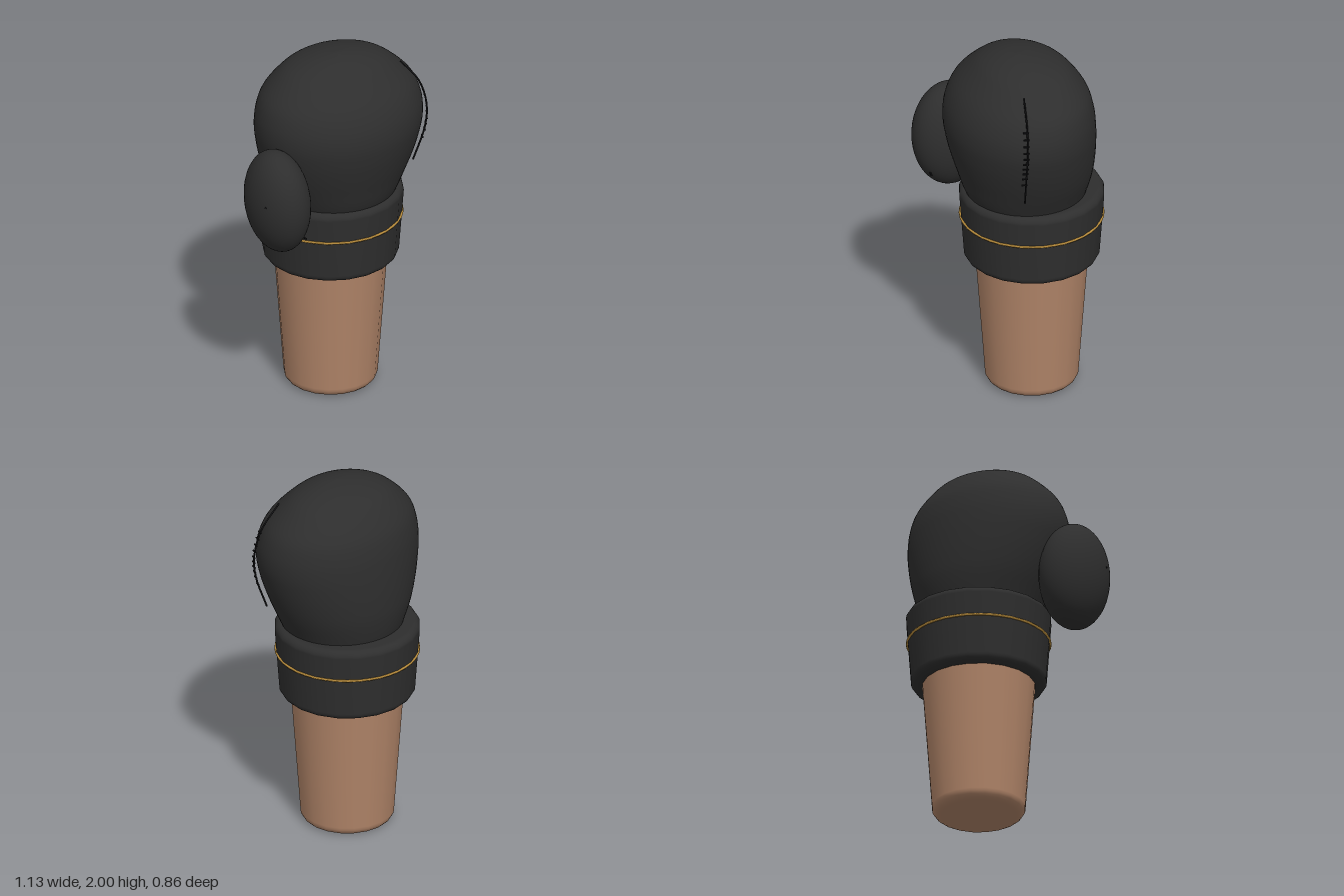
import * as THREE from 'three';
import { mergeVertices } from 'three/addons/utils/BufferGeometryUtils.js';

const CX = 0.085, CZ = -0.037; // axis of the forearm and cuff

function material(name, color) {
  const m = new THREE.MeshStandardMaterial({ color });
  m.name = name;
  return m;
}

// Tapered cylinder with rounded rims, as a lathe profile
function taperedDrum(r0, r1, y0, y1, round) {
  const pts = [new THREE.Vector2(0, y0)];
  const steps = 5;
  for (let i = 0; i <= steps; i++) {
    const a = (i / steps) * Math.PI / 2;
    pts.push(new THREE.Vector2(r0 - round + round * Math.sin(a), y0 + round - round * Math.cos(a)));
  }
  for (let i = 0; i <= steps; i++) {
    const a = (i / steps) * Math.PI / 2;
    pts.push(new THREE.Vector2(r1 - round + round * Math.cos(a), y1 - round + round * Math.sin(a)));
  }
  pts.push(new THREE.Vector2(0, y1));
  return new THREE.LatheGeometry(pts, 20);
}

// Padded mitt: oval cross-sections [y, half width, front z, back z]
function mittGeometry() {
  const sections = [
    [1.05, 0.28, 0.25, -0.28], [1.18, 0.335, 0.325, -0.325], [1.3, 0.39, 0.365, -0.35],
    [1.4, 0.428, 0.395, -0.357], [1.5, 0.457, 0.418, -0.357], [1.6, 0.475, 0.428, -0.352],
    [1.7, 0.469, 0.413, -0.34], [1.8, 0.43, 0.365, -0.31], [1.9, 0.33, 0.275, -0.24],
    [1.95, 0.245, 0.21, -0.175], [1.985, 0.13, 0.125, -0.07], [2.0, 0, 0.04, 0.04],
  ];
  const front = new THREE.CatmullRomCurve3(
    sections.map(([y, r, f]) => new THREE.Vector3(r, y, f)), false, 'catmullrom');
  const back = new THREE.CatmullRomCurve3(
    sections.map(([y, r, , b]) => new THREE.Vector3(r, y, b)), false, 'catmullrom');
  const rings = 55, sides = 64;
  const profile = [], ovals = [];
  for (let i = 0; i <= rings; i++) {
    const f = front.getPoint(i / rings), b = back.getPoint(i / rings);
    const r = i === rings ? 0 : f.x;
    profile.push(new THREE.Vector2(r, Math.min(f.y, 2)));
    ovals.push({ mid: (f.z + b.z) / 2, ratio: r > 0 ? (f.z - b.z) / 2 / r : 0 });
  }
  let geo = new THREE.LatheGeometry(profile, sides);
  const pos = geo.attributes.position;
  for (let i = 0; i < pos.count; i++) {
    const { mid, ratio } = ovals[i % (rings + 1)];
    pos.setXYZ(i, pos.getX(i) + CX, pos.getY(i), mid + pos.getZ(i) * ratio);
  }
  geo.deleteAttribute('uv');
  geo.deleteAttribute('normal');
  geo = mergeVertices(geo, 1e-5);
  geo.computeVertexNormals();
  return geo;
}

function curveThrough(points) {
  return new THREE.CatmullRomCurve3(points.map(p => new THREE.Vector3(...p)));
}

export function createModel() {
  const group = new THREE.Group();
  group.name = 'boxingGlove';
  const leather = material('black leather', 0x2e2e2e);
  const skin = material('skin', 0xb08468);
  const gold = material('gold trim', 0xb88c3c);
  const thread = material('dark thread', 0x141416);

  function add(name, geo, mat, parent = group) {
    const mesh = new THREE.Mesh(geo, mat);
    mesh.name = name;
    parent.add(mesh);
    return mesh;
  }

  // Forearm, reaching up inside the cuff
  add('forearm', taperedDrum(0.252, 0.31, 0, 0.9, 0.05), skin).position.set(CX, 0, CZ);

  // Cuff and its trim ring
  add('cuff', taperedDrum(0.366, 0.391, 0.757, 1.18, 0.04), leather).position.set(CX, 0, CZ);
  const trim = add('cuffTrim', new THREE.TorusGeometry(0.382, 0.007, 6, 40), gold);
  trim.position.set(CX, 1.008, CZ);
  trim.rotation.x = Math.PI / 2;

  // Mitt
  add('mitt', mittGeometry(), leather);

  // Thumb
  const thumb = add('thumb', new THREE.SphereGeometry(1, 40, 28), leather);
  thumb.scale.set(0.162, 0.297, 0.215);
  thumb.position.set(-0.407, 1.315, 0.196);
  thumb.rotation.z = 0.06;

  // Side seam with a row of short stitches
  const seam = curveThrough([
    [0.39, 1.915, 0.172], [0.49, 1.78, 0.205], [0.528, 1.63, 0.222],
    [0.515, 1.5, 0.223], [0.455, 1.31, 0.2],
  ]);
  add('sideSeam', new THREE.TubeGeometry(seam, 16, 0.005, 6), thread);
  const stitches = new THREE.Group();
  stitches.name = 'stitches';
  group.add(stitches);
  for (let i = 0; i < 10; i++) {
    const p = seam.getPoint(0.28 + i * 0.06);
    const stitch = add('stitch', new THREE.BoxGeometry(0.008, 0.006, 0.032), thread, stitches);
    stitch.position.set(p.x - 0.004, p.y, p.z + 0.006);
    stitch.rotation.y = -0.4;
  }

  // Thumb seam, mostly sunk into the padding
  const thumbSeam = curveThrough([
    [-0.552, 1.36, 0.295], [-0.47, 1.28, 0.33], [-0.37, 1.16, 0.345], [-0.322, 1.125, 0.35],
  ]);
  add('thumbSeam', new THREE.TubeGeometry(thumbSeam, 12, 0.005, 6), thread);

  return group;
}
